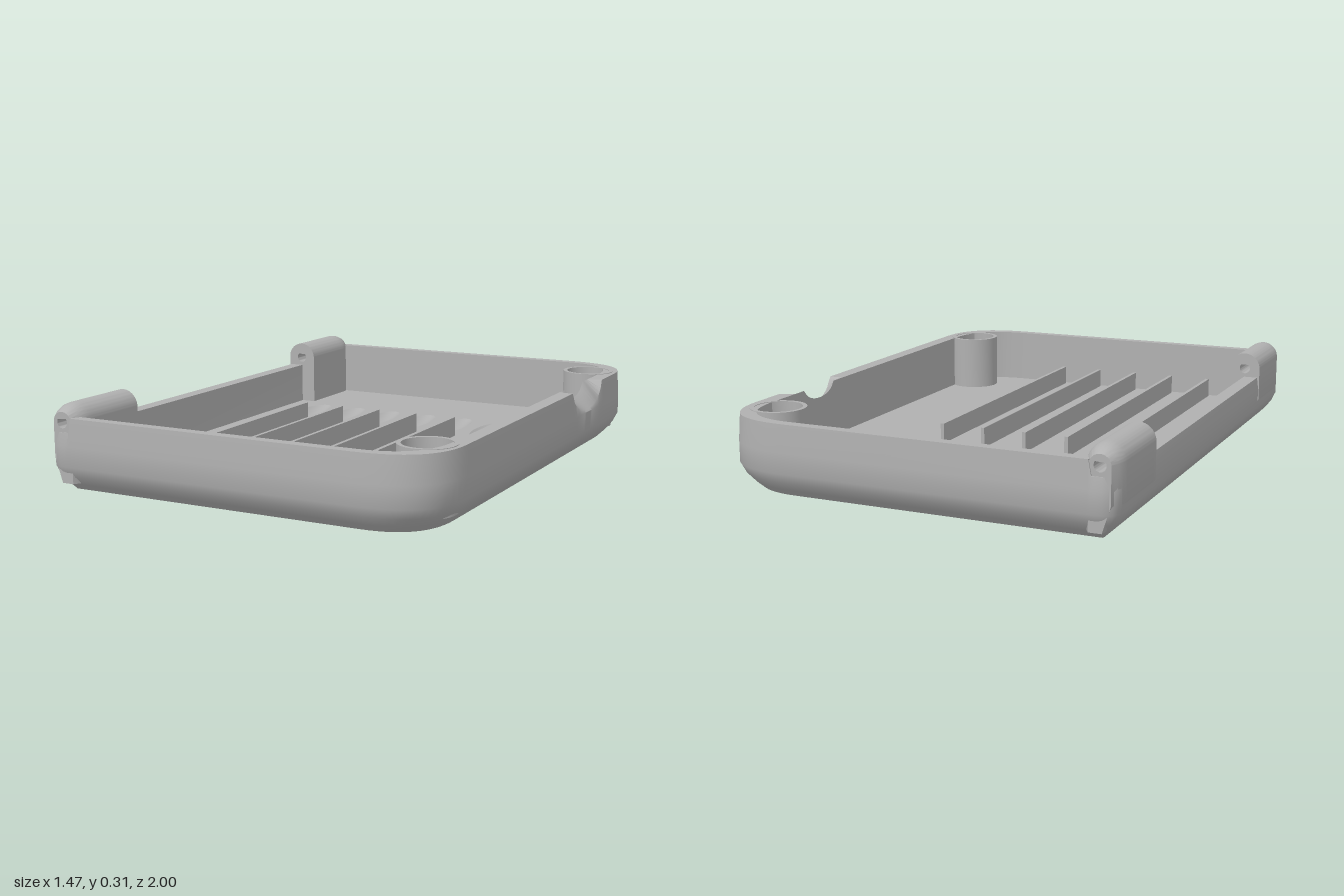
import * as THREE from 'three';
import { toCreasedNormals } from 'three/addons/utils/BufferGeometryUtils.js';

const FLOOR = 0.05, RIM = 0.262;

// Plan outline inset by dx, dz: large curved corners at +x, tight ones at -x
function outline(dx, dz) {
  const X = 0.735 - dx, Z = 1 - dz, r = Math.max(0.07 - dx, 0.004), half = [];
  const corner = (ax, az, cx, cz, bx, bz, n) => {
    for (let i = 0; i <= n; i++) {
      const t = i / n, u = 1 - t;
      half.push([u * u * ax + 2 * u * t * cx + t * t * bx, u * u * az + 2 * u * t * cz + t * t * bz]);
    }
  };
  const side = 0.75 - dz * 0.6;
  for (let i = 0; i < 60; i++) half.push([X, side * i / 60]);
  corner(X, side, X, Z, 0.45, Z, 14);
  half.push([-0.64, Z], [-0.65, Z]);
  corner(-X + r, Z, -X, Z, -X, Z - r, 6);
  const back = half.slice(1).reverse().map(([x, z]) => [x, -z]);
  return [...half, ...back];
}

// Rim height: low on the hinge side, dipped at the thumb notch
function rimHeight([x, z], halfWidth, depth) {
  if (x < -0.645) return 0.21;
  const k = (z + 0.43) / halfWidth;
  return x > 0.6 && Math.abs(k) < 1 ? RIM - depth * Math.sqrt(1 - k * k) : RIM;
}

function shellGeometry() {
  const base = outline(0, 0);
  const ring = (d, y, dz = d) => outline(d, dz).map(([x, z], i) =>
    [x, typeof y === 'function' ? y(base[i]) : y, z]);
  const rings = [
    ring(0.068, 0.006), ring(0.065, 0), ring(0.04, 0.025), ring(0.016, 0.055), ring(0, 0.09),
    ring(0, 0.165), ring(0.006, p => rimHeight(p, 0.17, 0.09)),
    ring(0.06, p => rimHeight(p, 0.1, 0.045), 0.045), ring(0.06, FLOOR, 0.045),
  ];
  const n = base.length, index = [];
  for (let j = 0; j < rings.length - 1; j++) {
    for (let i = 0; i < n; i++) {
      const a = j * n + i, b = j * n + (i + 1) % n;
      index.push(a, a + n, b, b, a + n, b + n);
    }
  }
  const geo = new THREE.BufferGeometry();
  geo.setAttribute('position', new THREE.Float32BufferAttribute(rings.flat(2), 3));
  geo.setIndex(index);
  return toCreasedNormals(geo, 0.6);
}

// Hinge knuckle: rounded section with a pin hole, tapering at its outer end
function hingeGeometry() {
  const cx = -0.677, cy = 0.245, r = 0.061;
  const s = new THREE.Shape();
  s.moveTo(-0.69, 0.03);
  s.lineTo(-0.615, 0.03);
  s.lineTo(cx + r, cy);
  s.absarc(cx, cy, r, 0, Math.PI, false);
  s.lineTo(-0.738, 0.12);
  s.closePath();
  const hole = new THREE.Path();
  hole.moveTo(cx, cy + 0.03);
  hole.absarc(cx, cy, 0.021, Math.PI * 0.75, Math.PI * 2.25, false);
  hole.closePath();
  s.holes.push(hole);
  const geo = new THREE.ExtrudeGeometry(s, { depth: 0.345, steps: 14, bevelEnabled: false, curveSegments: 20 });
  geo.translate(0, 0, 0.645);
  const p = geo.attributes.position;
  for (let i = 0; i < p.count; i++) {
    const x = p.getX(i), y = p.getY(i), t = Math.max(0, (p.getZ(i) - 0.92) / 0.07);
    if (Math.hypot(x - cx, y - cy) < 0.035) continue;
    const k = 1 - 0.4 * t * t;
    p.setX(i, cx + (x - cx) * k);
    if (y > cy) p.setY(i, cy + (y - cy) * k);
  }
  return toCreasedNormals(geo, 0.6);
}

// Underside weave: bands of slanted tiles alternating with short slats
function weaveGeometry() {
  const shapes = [];
  const tile = (x, z, w, l, skew) => {
    if (x + w > 0.5 && (z < -0.8 || z + l + skew > 0.8)) return;
    shapes.push(new THREE.Shape([[x, z], [x + w, z + skew], [x + w, z + l + skew], [x, z + l]]
      .map(([a, b]) => new THREE.Vector2(a, b))));
  };
  for (let b = 0; b < 5; b++) {
    const x = -0.65 + b * 0.26;
    for (let i = 0; i < 13; i++) {
      const z = -0.92 + i * 0.138;
      tile(x, z, 0.12, 0.11, 0.06);
      for (let k = 0; k < 3; k++) tile(x + 0.13 + k * 0.042, z + 0.02, 0.03, 0.12, -0.015);
    }
  }
  const geo = new THREE.ExtrudeGeometry(shapes, { depth: 0.006, bevelEnabled: false });
  geo.rotateX(Math.PI / 2);
  geo.translate(0, 0.0065, 0);
  return geo;
}

export function createModel() {
  const group = new THREE.Group();
  const grey = new THREE.MeshStandardMaterial({ color: 0xb0b0b0 });
  grey.name = 'grey plastic';
  const add = (name, geo, x = 0, y = 0, z = 0) => {
    const m = new THREE.Mesh(geo, grey);
    m.name = name;
    m.position.set(x, y, z);
    group.add(m);
    return m;
  };
  const planShape = (dx, dz) => new THREE.Shape(outline(dx, dz).map(([x, z]) => new THREE.Vector2(x, -z)));

  add('shellWalls', shellGeometry());

  // Floor with six oval dishes
  const dishX = [0, 1, 2, 3, 4, 5].map(i => -0.52 + i * 0.168);
  const floor = planShape(0.06, 0.045);
  for (const x of dishX) {
    const hole = new THREE.Path();
    hole.absellipse(x, 0.435, 0.058, 0.16, 0, Math.PI * 2, true);
    floor.holes.push(hole);
  }
  add('floor', new THREE.ShapeGeometry(floor, 24).rotateX(-Math.PI / 2), 0, FLOOR, 0);
  const bowl = [];
  for (let i = 0; i <= 8; i++) {
    const r = 1 - i / 8;
    bowl.push(new THREE.Vector2(r, -0.028 * (1 - r * r)));
  }
  const dishGeo = new THREE.LatheGeometry(bowl, 48).scale(0.058, 1, 0.16);
  for (const x of dishX) add('ovalDish', dishGeo, x, FLOOR, -0.435);

  // Underside
  const under = new THREE.Shape(outline(0.068, 0.068).map(([x, z]) => new THREE.Vector2(x, z)));
  add('underside', new THREE.ShapeGeometry(under).rotateX(Math.PI / 2), 0, 0.006, 0);
  add('undersideWeave', weaveGeometry());

  // Divider ribs
  const ribGeo = new THREE.BoxGeometry(0.014, 0.08, 1.2);
  for (let i = 0; i < 5; i++) add('rib', ribGeo, -0.435 + i * 0.1675, FLOOR + 0.035, 0.337);

  // Corner posts with shallow cups
  const post = [[0.1, 0.04], [0.1, 0.264], [0.085, 0.264], [0.085, 0.222], [0, 0.222]]
    .map(([x, y]) => new THREE.Vector2(x, y));
  const postGeo = toCreasedNormals(new THREE.LatheGeometry(post, 48), 0.6);
  for (const z of [-0.78, 0.78]) add('cornerPost', postGeo, 0.61, 0, z);

  // Hinge knuckles
  const hinge = hingeGeometry();
  add('frontHinge', hinge);
  add('backHinge', hinge).scale.z = -1;

  return group;
}
